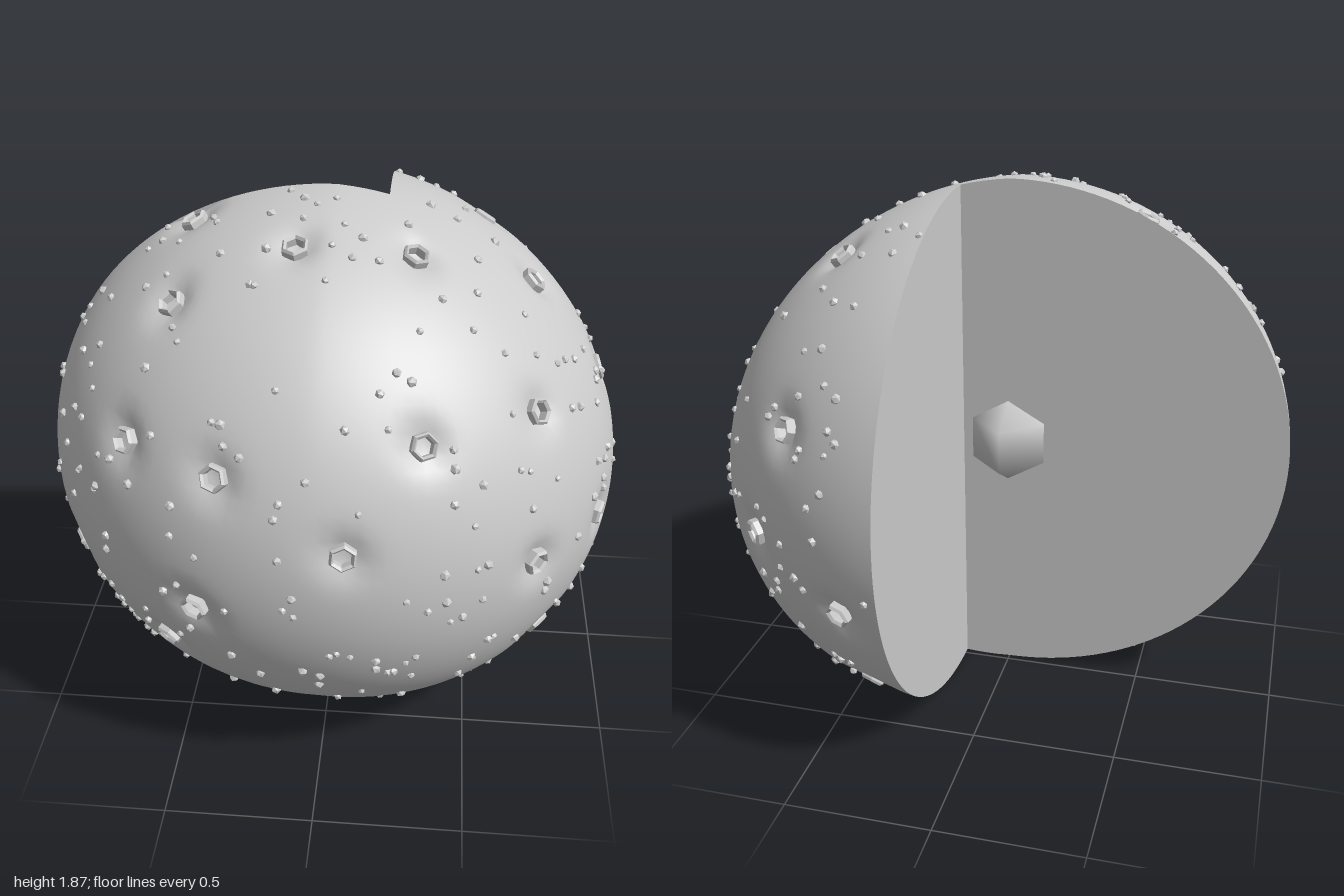
import * as THREE from 'three';
import { mergeGeometries } from 'three/addons/utils/BufferGeometryUtils.js';

const C = new THREE.Vector3(0.17, 0.945, 0.02);   // corner line of the cutaway
const O = new THREE.Vector3(-0.005, 0.945, 0);    // centre of the body
const R = new THREE.Vector3(0.985, 0.93, 0.98);
const A0 = -Math.PI / 2, A1 = Math.PI;            // solid three quarters
const THICK = 0.05;

// Approximate pore centres; each is projected on to the surface
const PORES = [
  [-0.55, 1.28, 0.65], [-0.27, 1.28, 0.82], [0.31, 1.36, 0.73], [0.65, 1.35, 0.5],
  [0.1, 1.1, 0.93], [0.67, 0.92, 0.67], [-0.37, 0.83, 0.9], [-0.84, 0.73, 0.46],
  [-0.5, 0.57, 0.75], [0.74, 0.48, 0.49], [-0.3, 0.17, 0.45], [0.3, 0.14, 0.42],
  [0.92, 0.87, 0.35], [-0.45, 1.62, 0.42], [-0.09, 1.78, 0.34], [0.27, 1.78, 0.3],
  [-0.46, 1.76, 0.07], [0.5, 1.68, -0.28], [0.65, 1.57, 0.04], [0.89, 1.22, -0.02],
  [0.52, 1.23, -0.75], [0.66, 0.84, -0.69], [0.33, 0.67, -0.92], [0.9, 0.55, -0.1],
  [0.75, 0.42, -0.36], [0.32, 0.27, -0.65], [0.6, 0.22, 0.12], [0.45, 0.15, -0.28],
  [-0.6, 0.25, 0.15], [-0.05, 0.02, 0.12],
].map(p => new THREE.Vector3(...p));

const material = (flatShading = false) => new THREE.MeshStandardMaterial({
  color: 0xcccccc, flatShading, side: THREE.DoubleSide,
});

function direction(a, v) {
  return new THREE.Vector3(Math.sin(v) * Math.cos(a), Math.cos(v), Math.sin(v) * Math.sin(a));
}

// Distance from the cut corner to the slightly lopsided ellipsoid
function reach(d) {
  const p = C.clone().sub(O).divide(R), q = d.clone().divide(R);
  const a = q.dot(q), b = p.dot(q), c = p.dot(p) - 1;
  const t = (-b + Math.sqrt(b * b - a * c)) / a;
  const n = p.addScaledVector(q, t);
  return t * (1 - 0.09 * Math.max(n.x, 0) * n.y);
}

const surface = d => C.clone().addScaledVector(d, reach(d));
const normalAt = p => p.clone().sub(O).divide(R).divide(R).normalize();

const pores = PORES.map(p => surface(p.clone().sub(C).normalize()));

// Surface with a soft dent around every pore
function dentedSurface(d) {
  const p = surface(d);
  let dent = 0;
  for (const c of pores) dent += 0.04 * Math.exp(-p.distanceToSquared(c) / 0.0042);
  return p.addScaledVector(d, -dent);
}

// Grid of points fn(u, v), both running 0..1
function grid(nu, nv, fn) {
  const pos = [], index = [];
  for (let j = 0; j <= nv; j++)
    for (let i = 0; i <= nu; i++) pos.push(...fn(i / nu, j / nv).toArray());
  for (let j = 0; j < nv; j++)
    for (let i = 0; i < nu; i++) {
      const a = j * (nu + 1) + i, b = a + 1, c = a + nu + 1, d = c + 1;
      index.push(a, b, c, b, d, c);
    }
  const g = new THREE.BufferGeometry();
  g.setAttribute('position', new THREE.Float32BufferAttribute(pos, 3));
  g.setIndex(index);
  g.computeVertexNormals();
  return g;
}

// Flat strip in a cut plane between two depths, f0 and f1 mapping full reach to radius
function cutStrip(a, f0, f1) {
  return grid(1, 72, (u, v) => {
    const d = direction(a, v * Math.PI), r = reach(d);
    // the second wall is mirrored so that both face the opening
    const s = a === A1 ? u : 1 - u;
    return C.clone().addScaledVector(d, THREE.MathUtils.lerp(f0(r), f1(r), s));
  });
}

function seeded(seed) {
  return () => {
    seed = (seed * 1664525 + 1013904223) % 4294967296;
    return seed / 4294967296;
  };
}

export function createModel() {
  const model = new THREE.Group();
  model.name = 'cutawayNucleus';
  const add = (name, geometry, mat = material()) => {
    const mesh = new THREE.Mesh(geometry, mat);
    mesh.name = name;
    model.add(mesh);
    return mesh;
  };

  // Outer and inner membranes
  const angle = u => THREE.MathUtils.lerp(A0, A1, u);
  add('outerMembrane', grid(104, 72, (u, v) => dentedSurface(direction(angle(u), v * Math.PI))));
  add('innerMembrane', grid(64, 40, (u, v) => {
    const d = direction(angle(u), v * Math.PI);
    return C.clone().addScaledVector(d, reach(d) - THICK - 0.02);
  }));

  // Cut faces: membrane rim and the filled interior
  for (const [side, a] of [['Right', A0], ['Back', A1]]) {
    add('membraneRim' + side, cutStrip(a, r => r - THICK, r => r));
    add('interiorWall' + side, cutStrip(a, () => 0, r => r - THICK));
  }

  // Small faceted core, half sunk in the wall
  add('core', new THREE.SphereGeometry(0.152, 4, 3)).position.set(0.005, 0.93, 0.02);

  // Six-sided pore rings set in the dents
  const profile = [[0.03, -0.04], [0.045, -0.04], [0.045, -0.004], [0.038, 0.004], [0.03, -0.004], [0.03, -0.04]]
    .map(p => new THREE.Vector2(...p));
  const up = new THREE.Vector3(0, 1, 0);
  const ring = new THREE.LatheGeometry(profile, 6);
  add('poreRings', mergeGeometries(pores.map(p => {
    const turn = new THREE.Quaternion().setFromUnitVectors(up, normalAt(p));
    const m = new THREE.Matrix4().compose(p, turn, new THREE.Vector3(1, 1, 1));
    return ring.clone().applyMatrix4(m);
  })), material(true));

  // Tiny granules scattered over the outside
  const random = seeded(7);
  const granules = [];
  while (granules.length < 340) {
    const y = random() * 2 - 1, t = random() * Math.PI * 2, size = 0.012 + 0.006 * random();
    const w = Math.sqrt(1 - y * y);
    const p = new THREE.Vector3(w * Math.cos(t), y, w * Math.sin(t)).multiply(R).add(O);
    if (p.x < C.x + 0.01 && p.z < C.z + 0.01) continue;
    const s = surface(p.sub(C).normalize());
    if (pores.some(c => c.distanceTo(s) < 0.08)) continue;
    const g = new THREE.IcosahedronGeometry(size, 0);
    g.rotateX(random() * 6).rotateY(random() * 6);
    granules.push(g.translate(s.x, s.y, s.z));
  }
  add('granules', mergeGeometries(granules), material(true));

  return model;
}
